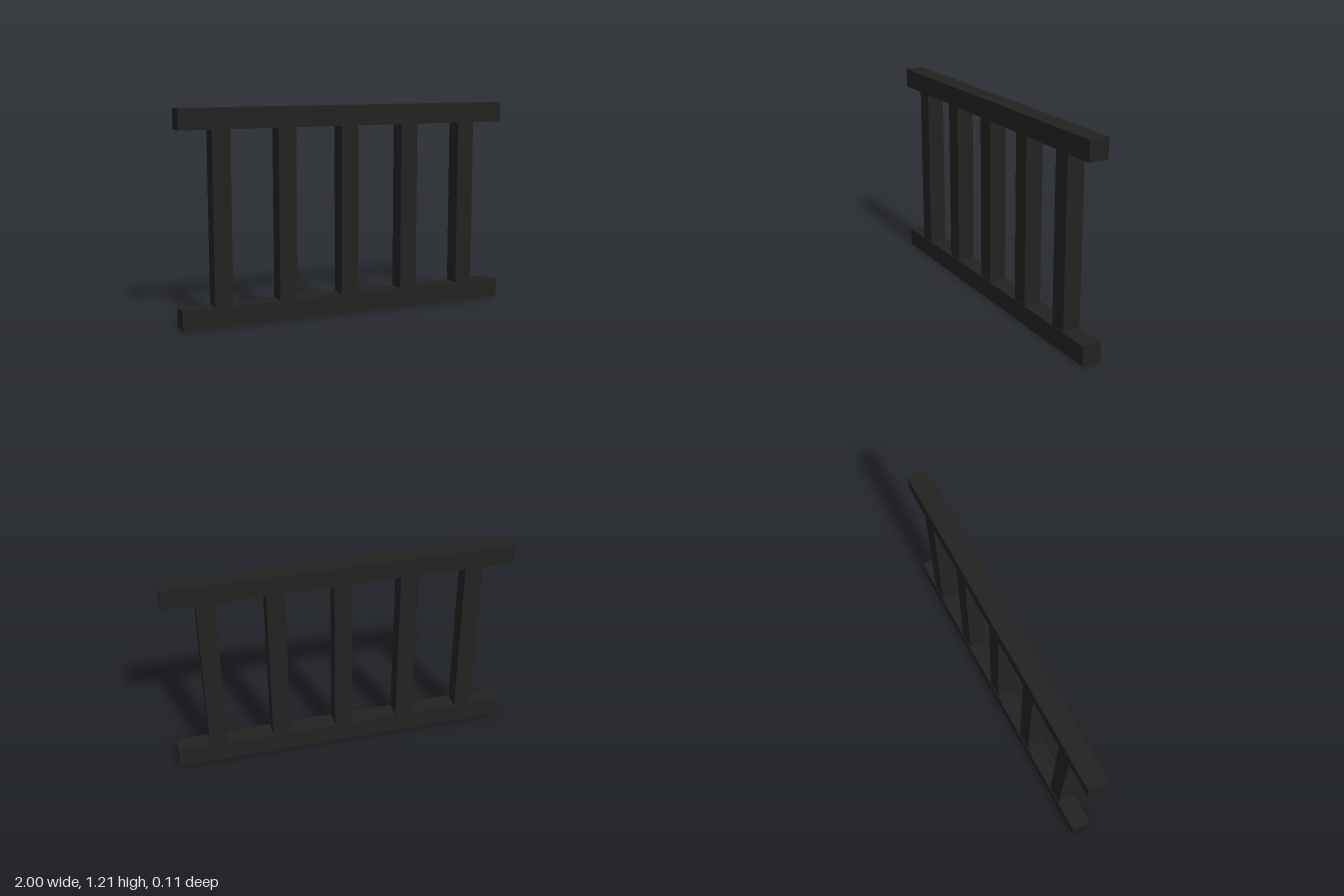
import * as THREE from 'three';

export function createModel() {
  const group = new THREE.Group();
  const material = new THREE.MeshStandardMaterial({ color: 0x232221 });
  const height = 1.21, rail = 0.114, bar = 0.104, spacing = 0.381;

  function addBox(name, w, h, d, x, y) {
    const mesh = new THREE.Mesh(new THREE.BoxGeometry(w, h, d), material);
    mesh.name = name;
    mesh.position.set(x, y, 0);
    group.add(mesh);
  }

  // Horizontal rails
  addBox('bottomRail', 2, rail, rail, 0, rail / 2);
  addBox('topRail', 2, rail, rail, 0, height - rail / 2);

  // Five upright bars spanning the gap between the rails
  for (let i = -2; i <= 2; i++) {
    addBox(`bar${i + 3}`, bar, height - 2 * rail, bar, i * spacing, height / 2);
  }
  return group;
}
